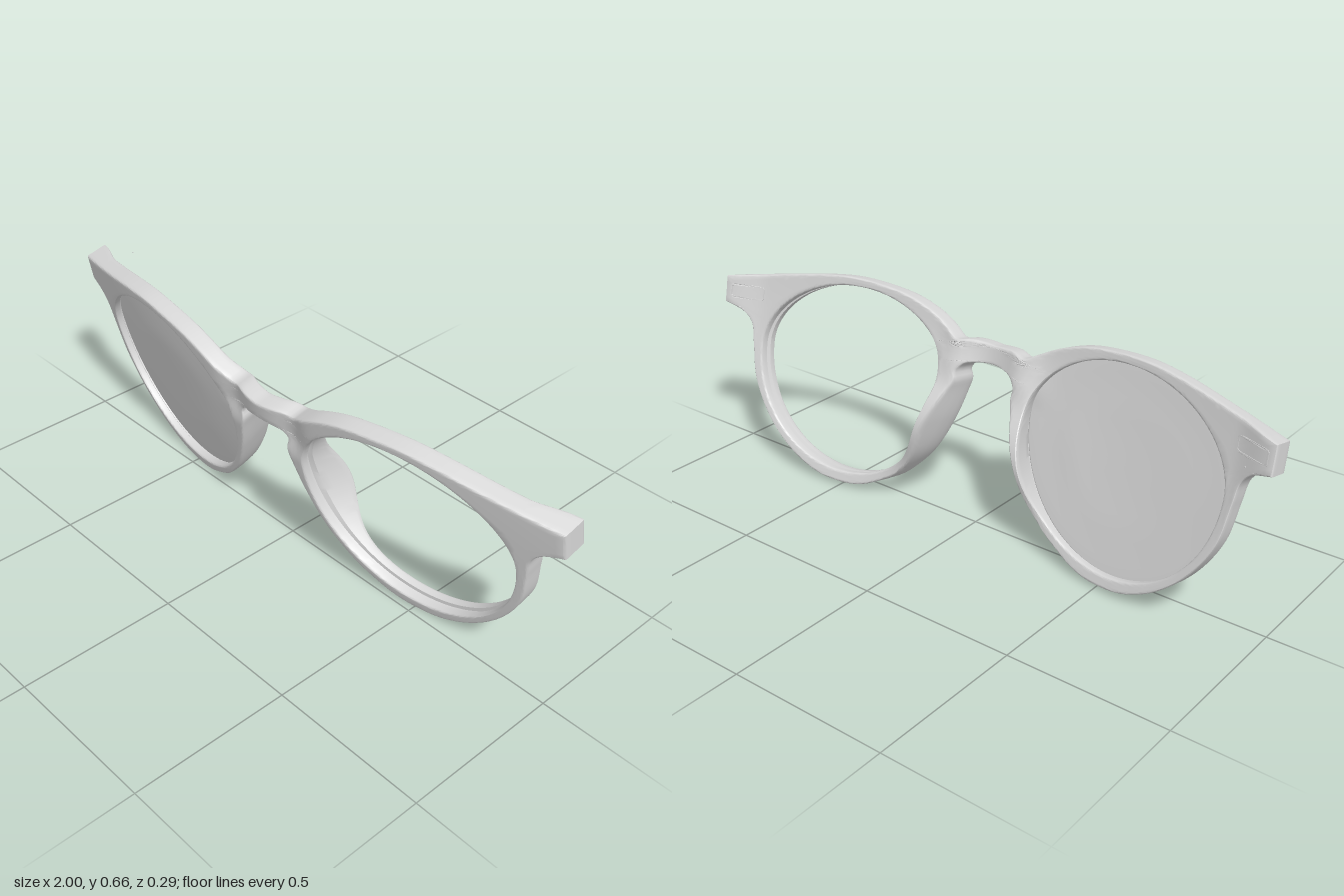
import * as THREE from 'three';
import { toCreasedNormals } from 'three/addons/utils/BufferGeometryUtils.js';

const V = (x, y) => new THREE.Vector2(x, y);
const spline = (coords, n) => new THREE.SplineCurve(coords.map(([x, y]) => V(x, y))).getSpacedPoints(n);
const line = (a, b, n) => Array.from({ length: n - 1 }, (_, i) => a.clone().lerp(b, (i + 1) / n));
const smooth = THREE.MathUtils.smoothstep;
const clamp = THREE.MathUtils.clamp;
const wrap = (a) => THREE.MathUtils.euclideanModulo(a, Math.PI * 2);

// Upper edge, bridge to endpiece
const topEdge = spline([[0, 0.56], [0.08, 0.567], [0.125, 0.561], [0.16, 0.577], [0.25, 0.62], [0.357, 0.65],
  [0.52, 0.664], [0.65, 0.655], [0.81, 0.63], [1, 0.6]], 70);
// Lower edge, endpiece around the rim and back to the bridge
const lowEdge = spline([[1, 0.512], [0.94, 0.49], [0.905, 0.45], [0.893, 0.385], [0.868, 0.262], [0.8, 0.148],
  [0.705, 0.061], [0.6, 0.01], [0.5, -0.003], [0.42, 0.007], [0.345, 0.04], [0.277, 0.084], [0.196, 0.173],
  [0.138, 0.29], [0.105, 0.395], [0.095, 0.435], [0.1, 0.465], [0.08, 0.49], [0.036, 0.499], [0, 0.5]], 130);
// Closed outline of the +x half, clockwise from the top of the bridge
const outline = [...topEdge, ...line(V(1, 0.6), V(1, 0.512), 5), ...lowEdge, ...line(V(0, 0.5), V(0, 0.56), 5)];
// Lens opening, clockwise: a low arch over a rounder bowl
const opening = Array.from({ length: 128 }, (_, i) => {
  const a = i / 128 * Math.PI * 2, s = Math.sin(a);
  return V(0.507 - 0.353 * Math.cos(a), 0.385 + s * (s > 0 ? 0.253 : 0.352));
});
const centre = V(0.507, 0.34);

// Clockwise angle about the lens centre, from the bridge
const START = Math.atan2(0.22, -0.357);
const turn = (p) => wrap(START - Math.atan2(p.y - centre.y, p.x - centre.x) + 0.05) - 0.05;
const byTurn = opening.map((p) => ({ p, a: turn(p) })).sort((m, n) => m.a - n.a);

function openingAt(a) {
  const n = byTurn.length;
  const i = byTurn.findIndex((e) => e.a > a);
  const hi = byTurn[i < 0 ? 0 : i], lo = byTurn[i <= 0 ? n - 1 : i - 1];
  return lo.p.clone().lerp(hi.p, wrap(a - lo.a) / wrap(hi.a - lo.a));
}

// Maps a flat point and a depth t (0 back, 1 front) onto the tilted, domed frame
function bend(x, y, t) {
  const ax = Math.abs(x);
  const dip = 0.018 * Math.exp(-(((ax - 0.12) / 0.05) ** 2)) * smooth(y, 0.4, 0.5);
  const dome = 0.01 * (1 - ((y - 0.33) / 0.33) ** 2) - 0.135 * x * x;
  const front = 0.155 - 0.228 * (0.64 - y) + dome - dip + 0.005 * Math.exp(-((x / 0.08) ** 2));
  const thick = 0.057 + 0.008 * (1 - smooth(y, 0.05, 0.6)) + 0.018 * smooth(ax, 0.86, 0.98);
  // nose pads flare out of the back half
  const pad = Math.exp(-(((y - 0.29) / 0.15) ** 2)) * smooth(ax, 0, 0.1) * (1 - smooth(ax, 0.2, 0.42)) * Math.max(0, 1 - t / 0.45);
  return [x + Math.sign(x) * 0.03 * pad,
    y + 0.23 * thick * (1 - t) - 0.013 * smooth(y, 0.3, 0.6),
    front - thick * (1 - t) - 0.077 * pad];
}

function bendGeometry(geo, rule) {
  const p = geo.attributes.position;
  for (let i = 0; i < p.count; i++) p.setXYZ(i, ...rule(p.getX(i), p.getY(i), p.getZ(i)));
  return geo;
}

// Rim cross-section: r runs from opening (0) to outline (1), inset rounds the edges, t is depth
function rimProfile() {
  const b = 0.006, tb = 0.1;
  const edge = [0, 1, 2, 3].map((k) => k * Math.PI / 6).map((a) => [b * (1 - Math.sin(a)), 1 - tb * (1 - Math.cos(a))]);
  const back = edge.map(([inset, t]) => [inset, 1 - t]);
  const outer = [...edge, [0, 0.7], [0, 0.45], [0, 0.3], ...back.slice().reverse()];
  // the two middle points form the lens groove
  const inner = [...back, [0, 0.3], [0, 0.4], [0.01, 0.45], [0.01, 0.6], [0, 0.65], ...edge.slice().reverse()];
  const rows = [1, 2, 3, 4, 5, 6, 7].map((k) => k / 8);
  return [...outer.map((e) => [1, ...e]), ...rows.map((r) => [1 - r, b, 0]),
    ...inner.map((e) => [0, ...e]), ...rows.map((r) => [r, b, 1])];
}

// Sweeps the rim section round each eye; the two halves meet at the middle of the bridge
function frameGeometry() {
  const profile = rimProfile(), n = outline.length, m = profile.length;
  const pos = [], index = [];
  for (const side of [1, -1]) {
    const base = pos.length / 3;
    let angle = -0.05;
    outline.forEach((p, i) => {
      const prev = outline[(i + n - 1) % n], next = outline[(i + 1) % n];
      let normal = V(prev.y - next.y, next.x - prev.x).normalize();
      if (p.x < 1e-6) normal = V(0, p.y > 0.5595 ? 1 : p.y < 0.5005 ? -1 : 0);
      angle = Math.max(angle, turn(V(clamp(p.x, 0.15, 0.95), p.y)));
      const hole = openingAt(angle);
      const out = hole.clone().sub(centre).normalize();
      for (const [r, inset, t] of profile) {
        const q = hole.clone().addScaledVector(out, inset).lerp(p.clone().addScaledVector(normal, -inset), r);
        pos.push(...bend(side * q.x, q.y, t));
      }
      for (let k = 0; k < m; k++) {
        const j = (i + 1) % n, l = (k + 1) % m;
        const [a, b, c, d] = [i * m + k, j * m + k, j * m + l, i * m + l].map((v) => v + base);
        if (side > 0) index.push(a, b, c, a, c, d);
        else index.push(a, c, b, a, d, c);
      }
    });
  }
  const geo = new THREE.BufferGeometry();
  geo.setAttribute('position', new THREE.Float32BufferAttribute(pos, 3));
  geo.setIndex(index);
  return toCreasedNormals(geo, 0.6);
}

// Raised rounded border of the hinge seat on the back of the endpiece
function hingeSeatGeometry(side) {
  const loop = (g) => Array.from({ length: 32 }, (_, i) => {
    const a = i / 32 * Math.PI * 2, c = Math.cos(a), s = Math.sin(a);
    return V(side * (0.925 + clamp(c * 1.3, -1, 1) * (0.055 + g)), 0.554 + clamp(s * 1.3, -1, 1) * (0.024 + g));
  });
  const shape = new THREE.Shape(side > 0 ? loop(0) : loop(0).reverse());
  shape.holes.push(new THREE.Path(loop(-0.005)));
  const geo = new THREE.ExtrudeGeometry(shape, { depth: 0.1, bevelEnabled: false });
  bendGeometry(geo, (x, y, z) => bend(x, y, z - 0.04));
  return toCreasedNormals(geo, 0.6);
}

// Closed thin lens: back centre, out to the rim, then in to the front centre
function lensGeometry() {
  const n = opening.length;
  const geo = new THREE.PlaneGeometry(1, 1, n, 20);
  bendGeometry(geo, (u, v) => {
    const o = opening[Math.round((u + 0.5) * n) % n];
    const s = Math.min(1, 1.1 * (1 - Math.abs(2 * v))) * 1.02;
    const t = 0.53 + clamp(v * 4, -1, 1) * 0.1;
    return bend(-(centre.x + (o.x - centre.x) * s), centre.y + (o.y - centre.y) * s, t);
  });
  geo.computeVertexNormals();
  return geo;
}

export function createModel() {
  const group = new THREE.Group();
  const grey = new THREE.MeshStandardMaterial({ color: 0xd8d8d8 });
  grey.name = 'grey';
  const add = (name, geo) => {
    const mesh = new THREE.Mesh(geo, grey);
    mesh.name = name;
    group.add(mesh);
    return mesh;
  };
  add('frameFront', frameGeometry());
  add('leftHingeSeat', hingeSeatGeometry(1));
  add('rightHingeSeat', hingeSeatGeometry(-1));
  add('rightLens', lensGeometry());
  // tiny loose hinge pin behind the right endpiece
  add('hingePin', new THREE.SphereGeometry(0.002, 8, 6)).position.set(-0.957, 0.562, -0.142);
  return group;
}
